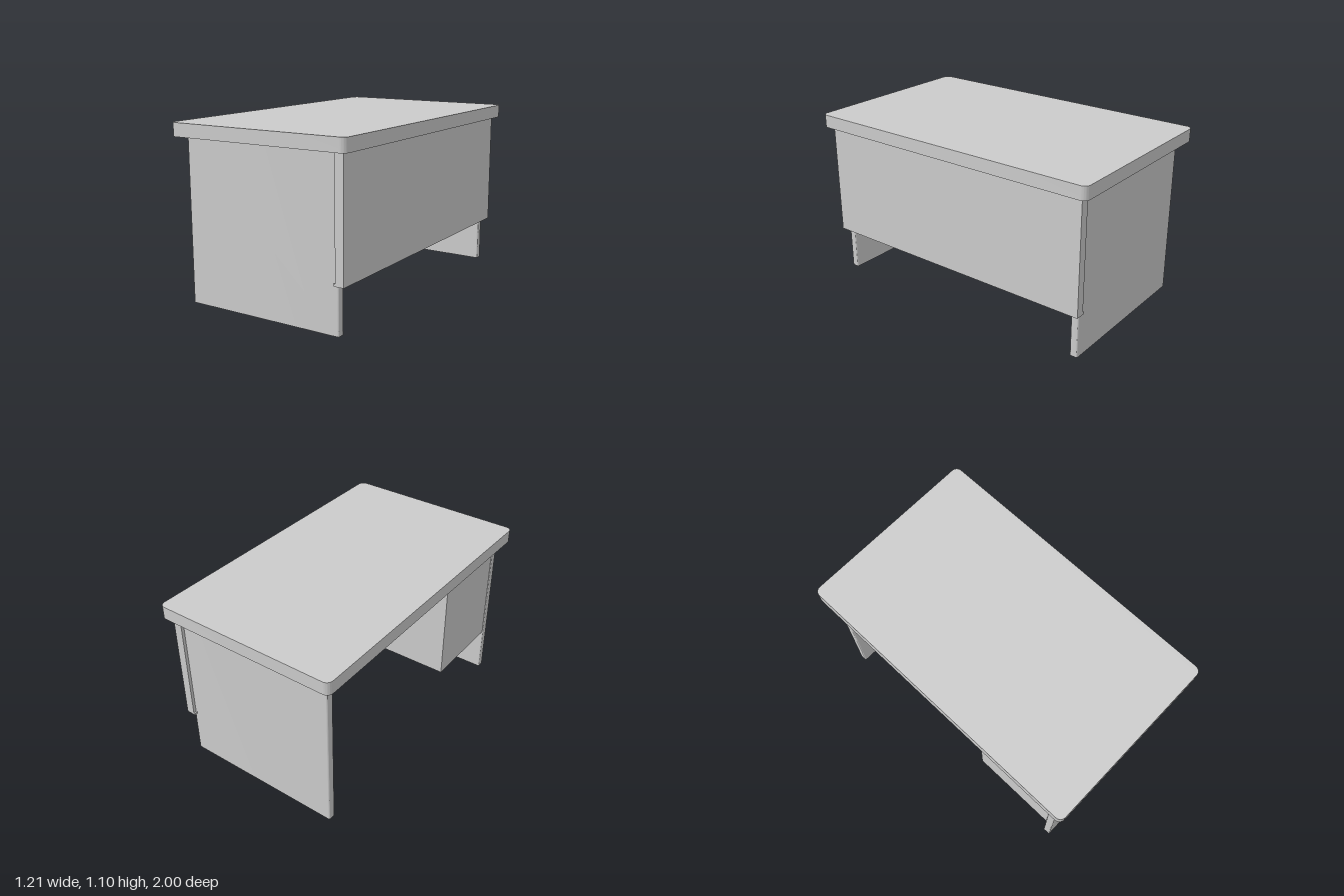
import * as THREE from 'three';
import { toCreasedNormals } from 'three/addons/utils/BufferGeometryUtils.js';

const material = new THREE.MeshStandardMaterial({ color: 0xcccccc });

function addMesh(group, name, geometry) {
  const mesh = new THREE.Mesh(geometry, material);
  mesh.name = name;
  group.add(mesh);
  return mesh;
}

// Plain box given by its limits on each axis
function addBox(group, name, x0, x1, y0, y1, z0, z1) {
  const mesh = addMesh(group, name, new THREE.BoxGeometry(x1 - x0, y1 - y0, z1 - z0));
  mesh.position.set((x0 + x1) / 2, (y0 + y1) / 2, (z0 + z1) / 2);
  return mesh;
}

// Upright slab whose plan is a rectangle with rounded corners
function addSlab(group, name, x0, x1, y0, y1, z0, z1, r) {
  const w = (x1 - x0) / 2, d = (z1 - z0) / 2;
  const shape = new THREE.Shape();
  shape.moveTo(w, -d + r);
  shape.absarc(w - r, d - r, r, 0, Math.PI / 2);
  shape.absarc(-w + r, d - r, r, Math.PI / 2, Math.PI);
  shape.absarc(-w + r, -d + r, r, Math.PI, Math.PI * 1.5);
  shape.absarc(w - r, -d + r, r, Math.PI * 1.5, Math.PI * 2);
  const geometry = new THREE.ExtrudeGeometry(shape, { depth: y1 - y0, bevelEnabled: false, curveSegments: 8 });
  geometry.rotateX(-Math.PI / 2);
  const mesh = addMesh(group, name, toCreasedNormals(geometry, Math.PI / 6));
  mesh.position.set((x0 + x1) / 2, y0, (z0 + z1) / 2);
  return mesh;
}

export function createModel() {
  const desk = new THREE.Group();
  desk.name = 'desk';

  // Worktop with rounded corners
  addSlab(desk, 'worktop', -0.605, 0.605, 1.02, 1.103, -1, 1, 0.04);

  // Long privacy panel across the outer side
  addBox(desk, 'privacyPanel', 0.505, 0.56, 0.29, 1.02, -0.95, 0.95);

  // Slab legs at both ends, and the small lip under each panel end
  for (const [side, s] of [['left', 1], ['right', -1]]) {
    const z0 = Math.min(s * 0.88, s * 0.93), z1 = Math.max(s * 0.88, s * 0.93);
    addSlab(desk, side + 'EndPanel', -0.54, 0.515, 0, 1.02, z0, z1, 0.008);
    const l0 = Math.min(s * 0.93, s * 0.95), l1 = Math.max(s * 0.93, s * 0.95);
    addBox(desk, side + 'PanelLip', 0.495, 0.505, 0.29, 0.305, l0, l1);
  }

  // Hanging drawer cabinet at one end
  addBox(desk, 'drawerCabinet', -0.535, 0.505, 0.305, 1.02, 0.31, 0.88);

  return desk;
}
